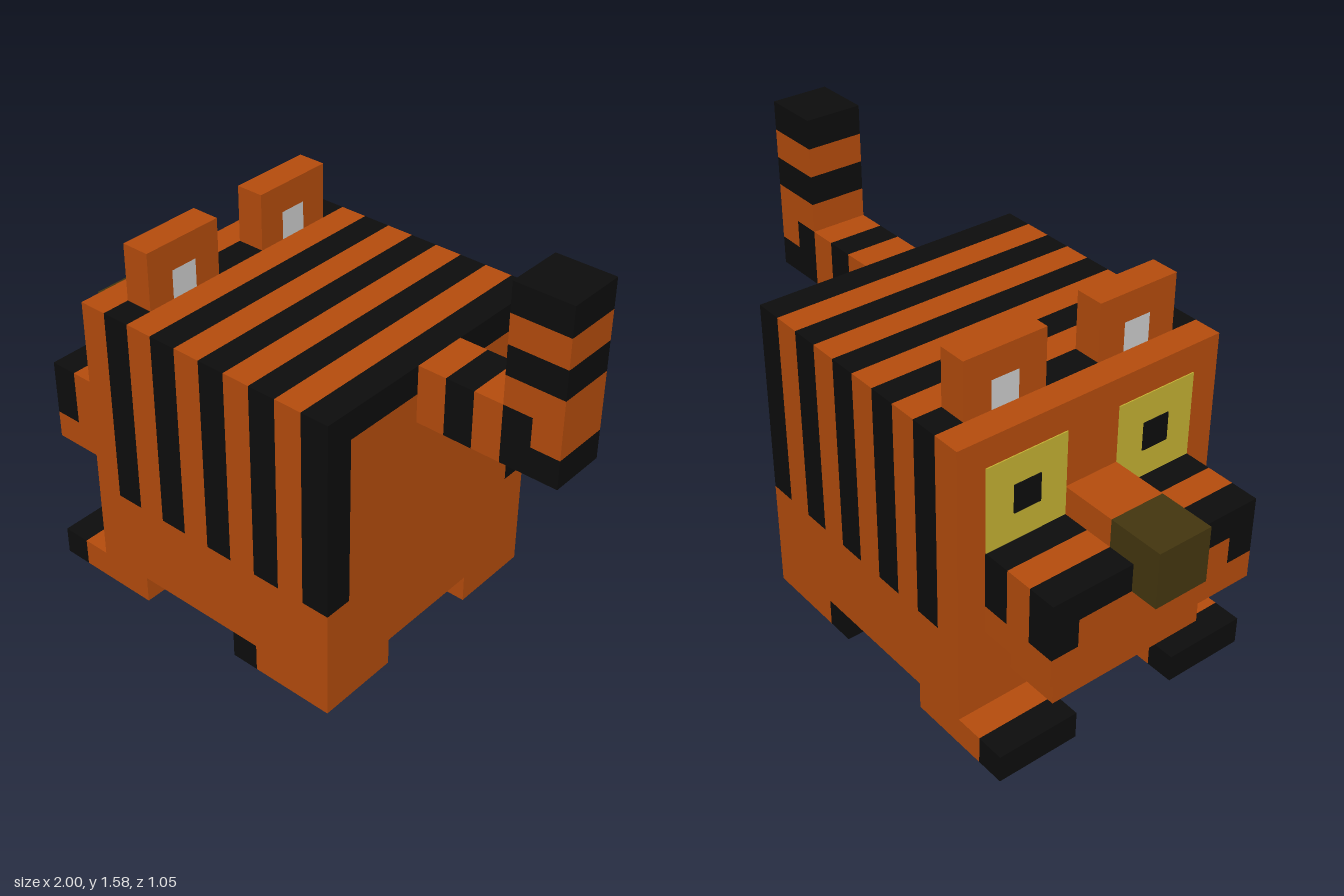
import * as THREE from 'three';

// One grid cell; the animal is 19 cells long and looks towards -x
const U = 2 / 19;

export function createModel() {
  const model = new THREE.Group();
  model.name = 'stripedCat';

  const mat = (name, color) => {
    const m = new THREE.MeshStandardMaterial({ color });
    m.name = name;
    return m;
  };
  const orange = mat('orange fur', 0xb54c0d);
  const black = mat('black stripe', 0x0d0d0d);
  const grey = mat('pale grey', 0xcccccc);
  const brown = mat('nose brown', 0x44360f);
  const yellow = mat('eye yellow', 0xc4b032);

  const part = (name) => {
    const g = new THREE.Group();
    g.name = name;
    model.add(g);
    return g;
  };

  // Box between two corners given in grid cells
  const box = (parent, name, material, x0, x1, y0, y1, z0, z1) => {
    const mesh = new THREE.Mesh(
      new THREE.BoxGeometry((x1 - x0) * U, (y1 - y0) * U, (z1 - z0) * U), material);
    mesh.position.set(((x0 + x1) / 2 - 9.5) * U, ((y0 + y1) / 2) * U, ((z0 + z1) / 2) * U);
    mesh.name = name;
    parent.add(mesh);
  };
  // The same box on both sides of the middle plane
  const pair = (parent, name, material, x0, x1, y0, y1, z0, z1) => {
    box(parent, name + 'Left', material, x0, x1, y0, y1, z0, z1);
    box(parent, name + 'Right', material, x0, x1, y0, y1, -z1, -z0);
  };

  // Body: plain belly with alternating slabs above
  const body = part('body');
  box(body, 'belly', orange, 4, 14, 1, 4, -5, 5);
  for (let x = 4; x < 13; x++) {
    box(body, x % 2 ? 'bodyStripe' : 'bodyFur', x % 2 ? black : orange, x, x + 1, 4, 11, -5, 5);
  }
  // Last stripe frames a plain rump
  box(body, 'rump', orange, 13, 14, 4, 10, -4, 4);
  box(body, 'rumpStripeTop', black, 13, 14, 10, 11, -4, 4);
  pair(body, 'rumpStripe', black, 13, 14, 4, 11, 4, 5);

  // Feet with black toes
  const feet = part('feet');
  for (const [name, x0, x1] of [['front', 2, 6], ['hind', 10, 14]]) {
    pair(feet, name + 'Foot', orange, x0 + 1, x1, 0, 1, 2, 5);
    pair(feet, name + 'Toes', black, x0, x0 + 1, 0, 1, 2, 5);
  }

  // Ears with a pale centre
  const ears = part('ears');
  pair(ears, 'earInnerEdge', orange, 5, 6, 11, 13, 1, 2);
  pair(ears, 'earOuterEdge', orange, 5, 6, 11, 13, 3, 4);
  pair(ears, 'earTip', orange, 5, 6, 12, 13, 2, 3);
  pair(ears, 'earCentre', grey, 5, 6, 11, 12, 2, 3);

  // Eyes as thin plates
  const eyes = part('eyes');
  pair(eyes, 'eye', yellow, 3.96, 4, 7, 10, 1, 4);
  pair(eyes, 'pupil', black, 3.92, 3.96, 8, 9, 2, 3);

  // Muzzle with two stripes over each cheek
  const muzzle = part('muzzle');
  box(muzzle, 'lip', orange, 1, 4, 4, 5, -4, 4);
  box(muzzle, 'cheekFur', orange, 2, 3, 5, 7, -4, 4);
  for (const x of [1, 3]) {
    box(muzzle, 'muzzleCore', orange, x, x + 1, 5, 6, -3, 3);
    pair(muzzle, 'cheekStripeSide', black, x, x + 1, 5, 7, 3, 4);
    pair(muzzle, 'cheekStripeTop', black, x, x + 1, 6, 7, 1, 3);
  }
  box(muzzle, 'noseBridge', orange, 3, 4, 6, 8, -1, 1);
  box(muzzle, 'noseBridgeFront', orange, 2, 3, 7, 8, -1, 1);
  box(muzzle, 'nose', brown, 0, 2, 6, 8, -1, 1);

  // Lower jaw and teeth
  const jaw = part('jaw');
  box(jaw, 'lowerJaw', orange, 2, 4, 2, 3, -3, 3);
  box(jaw, 'mouthBack', orange, 3, 4, 3, 4, -2, 2);
  pair(jaw, 'tooth', grey, 2, 3, 3, 4, 2, 3);

  // Tail: striped base, dark bend, striped upright end
  const tail = part('tail');
  for (let x = 14; x < 17; x++) {
    box(tail, 'tailBase', x % 2 ? black : orange, x, x + 1, 9, 11, -1, 1);
  }
  box(tail, 'tailBendInner', black, 17, 18, 9, 11, -1, 1);
  box(tail, 'tailBendUnder', black, 18, 19, 9, 10, -1, 1);
  box(tail, 'tailBendOuter', orange, 18, 19, 10, 11, -1, 1);
  for (let y = 11; y < 15; y++) {
    box(tail, 'tailEnd', y % 2 ? orange : black, 17, 19, y, y + 1, -1, 1);
  }

  return model;
}
